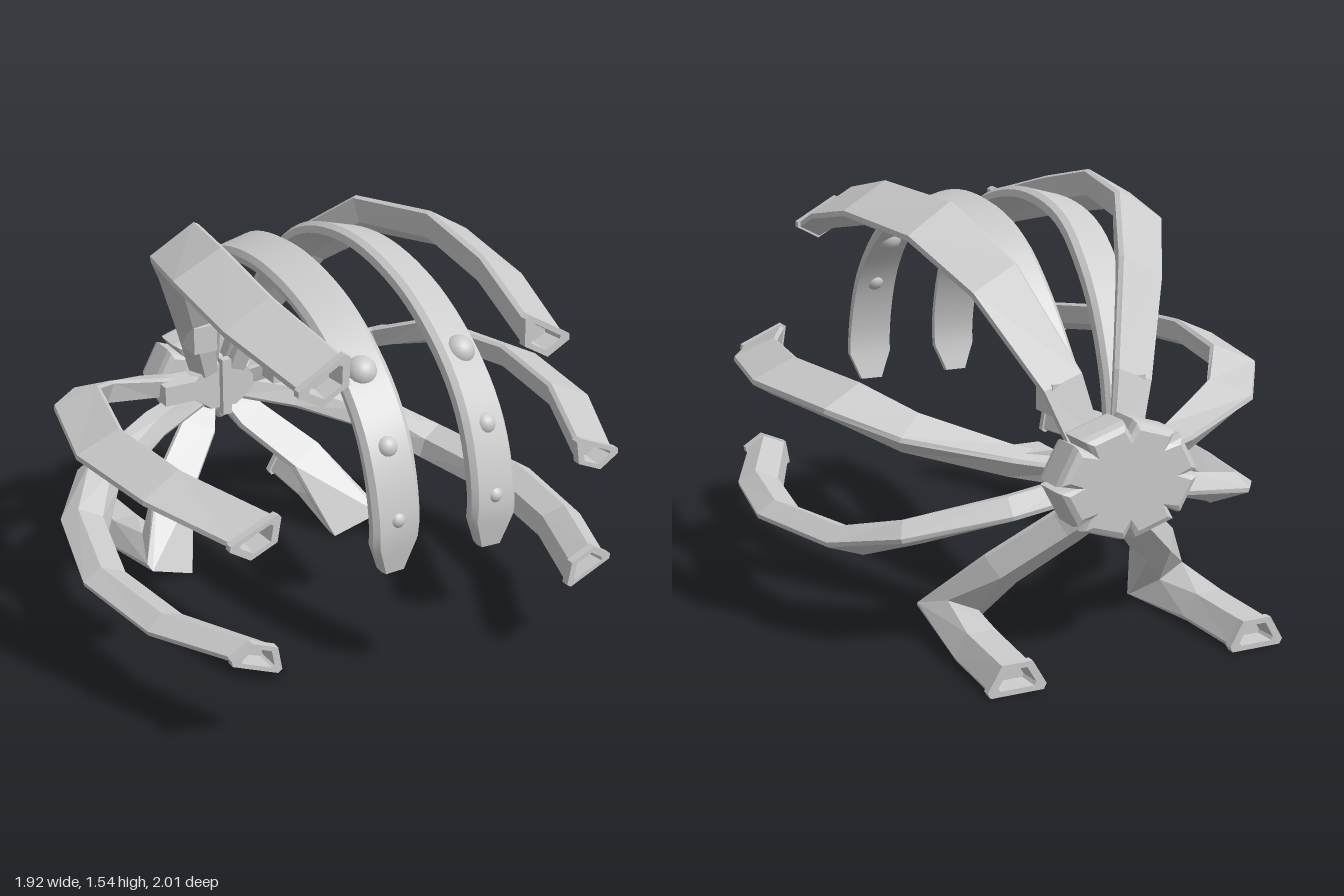
import * as THREE from 'three';
import { toCreasedNormals } from 'three/addons/utils/BufferGeometryUtils.js';

const V = (x, y, z) => new THREE.Vector3(x, y, z);
const material = new THREE.MeshStandardMaterial({ color: 0xcccccc });

// Cross-sections as [across, inward] pairs: bevelled wide outer face, narrow inner face
const ARM = [[-1, 0.18], [-0.9, 0], [0.9, 0], [1, 0.18], [0.52, 1], [-0.52, 1]];
const STRIP = [[-0.8, 0], [0.8, 0], [1, 0.4], [1, 1], [-1, 1], [-1, 0.4]];

// Sweeps a section along stations [x, y, z, width]; `across` or `normal` fixes the twist
function sweep(stations, { section, depth, across, normal, endDir, mouth }) {
  const P = stations.map(s => V(s[0], s[1], s[2]));
  const last = P.length - 1;
  const rings = [];
  P.forEach((p, i) => {
    const a = i > 0 ? p.clone().sub(P[i - 1]).normalize() : null;
    const b = i < last ? P[i + 1].clone().sub(p).normalize() : null;
    let t = (a && b ? a.clone().add(b) : (a || b).clone()).normalize();
    if (i === last && endDir) t = endDir.clone();
    const mitre = a && b ? 1 / Math.max(0.35, a.dot(t)) : 1;
    const u = across ? across.clone() : t.clone().cross(normal.clone().negate());
    u.addScaledVector(t, -u.dot(t)).normalize();
    const d = u.clone().cross(t).normalize();
    const w = stations[i][3] / 2;
    const ring = (shift, scale) => rings.push(section.map(([x, y]) => p.clone()
      .addScaledVector(t, shift)
      .addScaledVector(u, x * w * scale)
      .addScaledVector(d, depth * mitre * (0.5 + (y - 0.5) * scale))));
    if (i === last && mouth) {
      // Raised collar followed by a recessed opening
      [[-0.03, 1], [-0.03, 1.12], [0, 1.12], [0, 0.72], [-0.07, 0.6]].forEach(r => ring(...r));
    } else ring(0, 1);
  });
  const out = [];
  const tri = (...v) => v.forEach(q => out.push(q.x, q.y, q.z));
  const n = section.length;
  for (let r = 0; r < rings.length - 1; r++) {
    const A = rings[r], B = rings[r + 1];
    for (let i = 0; i < n; i++) {
      const j = (i + 1) % n;
      tri(A[i], B[i], B[j]);
      tri(A[i], B[j], A[j]);
    }
  }
  const centre = R => R.reduce((s, q) => s.add(q), V(0, 0, 0)).divideScalar(n);
  const R0 = rings[0], R1 = rings[rings.length - 1], c0 = centre(R0), c1 = centre(R1);
  for (let i = 0; i < n; i++) {
    const j = (i + 1) % n;
    tri(c0, R0[i], R0[j]);
    tri(c1, R1[j], R1[i]);
  }
  const g = new THREE.BufferGeometry();
  g.setAttribute('position', new THREE.Float32BufferAttribute(out, 3));
  g.computeVertexNormals();
  return g;
}

// Mirrored copy across x = 0 with the winding corrected
function mirrored(geometry) {
  const g = geometry.index ? geometry.toNonIndexed() : geometry.clone();
  g.scale(-1, 1, 1);
  for (const attr of [g.attributes.position, g.attributes.normal]) {
    for (let i = 0; i < attr.count; i += 3) {
      const b = V(0, 0, 0).fromBufferAttribute(attr, i + 1);
      const c = V(0, 0, 0).fromBufferAttribute(attr, i + 2);
      attr.setXYZ(i + 1, c.x, c.y, c.z);
      attr.setXYZ(i + 2, b.x, b.y, b.z);
    }
  }
  return g;
}

export function createModel() {
  const model = new THREE.Group();
  model.name = 'clawHarness';
  const add = (name, g) => {
    const m = new THREE.Mesh(g, material);
    m.name = name;
    model.add(m);
  };
  const pair = (name, g) => {
    add(name + 'Left', g);
    add(name + 'Right', mirrored(g));
  };
  const forward = V(0, 0, 1);

  // Top arms
  pair('topArm', sweep([
    [0.07, 0.72, -0.76, 0.12], [0.14, 0.96, -0.69, 0.16], [0.29, 1.29, -0.47, 0.2],
    [0.42, 1.47, -0.22, 0.22], [0.505, 1.51, 0.17, 0.22], [0.5, 1.45, 0.53, 0.21],
    [0.43, 1.365, 0.91, 0.19],
  ], { section: ARM, depth: 0.09, across: V(0.87, -0.5, 0), endDir: forward, mouth: true }));

  // Side arms: the lower pair repeats the upper one, flipped about the hub height
  const side = [
    [0.08, 0.68, -0.74, 0.09], [0.32, 0.74, -0.68, 0.13], [0.63, 0.83, -0.53, 0.18],
    [0.785, 0.9, -0.31, 0.19], [0.88, 0.915, 0.13, 0.19], [0.825, 0.91, 0.53, 0.18],
    [0.675, 0.875, 0.91, 0.18],
  ];
  const sideOptions = { section: ARM, depth: 0.08, endDir: forward, mouth: true };
  pair('upperSideArm', sweep(side, { ...sideOptions, normal: V(0.4, 0.91, 0) }));
  pair('lowerSideArm', sweep(side.map(([x, y, z, w]) => [x, 1.245 - y, z, w]),
    { ...sideOptions, normal: V(0.4, -0.91, 0) }));

  // Bent legs with feet pointing back
  pair('leg', sweep([
    [0.07, 0.56, -0.74, 0.12], [0.12, 0.49, -0.67, 0.15], [0.3, 0.32, -0.53, 0.17],
    [0.42, 0.06, -0.31, 0.23], [0.45, 0.035, -0.7, 0.2], [0.46, 0.025, -1, 0.19],
  ], { section: ARM, depth: 0.095, across: V(1, 0, 0), endDir: V(0, 0, -1), mouth: true }));

  // Curved strips hanging over the front, with rounded tips
  const curve = new THREE.CatmullRomCurve3([
    [0.06, 0.72, -0.75], [0.11, 0.97, -0.64], [0.155, 1.25, -0.45], [0.18, 1.43, -0.22],
    [0.19, 1.495, 0.12], [0.19, 1.43, 0.48], [0.19, 1.29, 0.73], [0.19, 1.15, 0.87],
    [0.19, 1.0, 0.95], [0.19, 0.8, 0.995], [0.19, 0.635, 0.975],
  ].map(p => V(...p)));
  const strip = [];
  for (let i = 0; i <= 48; i++) {
    const t = i / 48, p = curve.getPointAt(t);
    const tip = Math.min(1, 0.5 + (1 - t) * 24 * 0.5);
    strip.push([p.x, p.y, p.z, 0.175 * Math.min(1, 0.55 + t * 1.6) * tip]);
  }
  pair('frontStrip', toCreasedNormals(
    sweep(strip, { section: STRIP, depth: 0.045, across: V(0.97, -0.25, 0) }), 0.5));

  // Domed studs on the strips
  [[1.26, 0.735, 0.055], [1.06, 0.9, 0.04], [0.83, 0.975, 0.03]].forEach(([y, z, r], i) => {
    const g = new THREE.SphereGeometry(r, 20, 14);
    g.translate(0.19, y, z);
    pair('stud' + (i + 1), g);
  });

  // Lobed hub at the back
  const outline = [];
  for (let k = 0; k < 8; k++) {
    for (const [off, r] of [[-22.5, 0.13], [-15, 0.175], [15, 0.175]]) {
      const a = (k * 45 + 22.5 + off) * Math.PI / 180;
      outline.push(new THREE.Vector2(Math.cos(a) * r * 1.33, Math.sin(a) * r));
    }
  }
  const hub = new THREE.ExtrudeGeometry(new THREE.Shape(outline), {
    depth: 0.1, bevelEnabled: true, bevelThickness: 0.035, bevelSize: 0.028, bevelSegments: 2,
  });
  hub.translate(0, 0.655, -0.885);
  add('hub', hub);

  // Front plate that gathers the arm roots, with a central rib
  const plate = new THREE.CylinderGeometry(0.13, 0.17, 0.1, 8).toNonIndexed();
  plate.rotateY(Math.PI / 8).rotateX(Math.PI / 2).scale(1.1, 0.8, 1);
  plate.translate(0, 0.64, -0.73);
  plate.computeVertexNormals();
  add('hubPlate', plate);
  const rib = new THREE.BoxGeometry(0.04, 0.24, 0.04);
  rib.translate(0, 0.64, -0.67);
  add('hubRib', rib);

  // Root brackets under the top and upper side arms
  const bracket = (name, x, y, w, h) => {
    const g = new THREE.BoxGeometry(w, h, 0.12);
    g.translate(x, y, -0.63);
    pair(name, g);
  };
  bracket('sideBracket', 0.24, 0.69, 0.14, 0.08);
  bracket('topBracket', 0.13, 0.9, 0.1, 0.11);

  return model;
}
